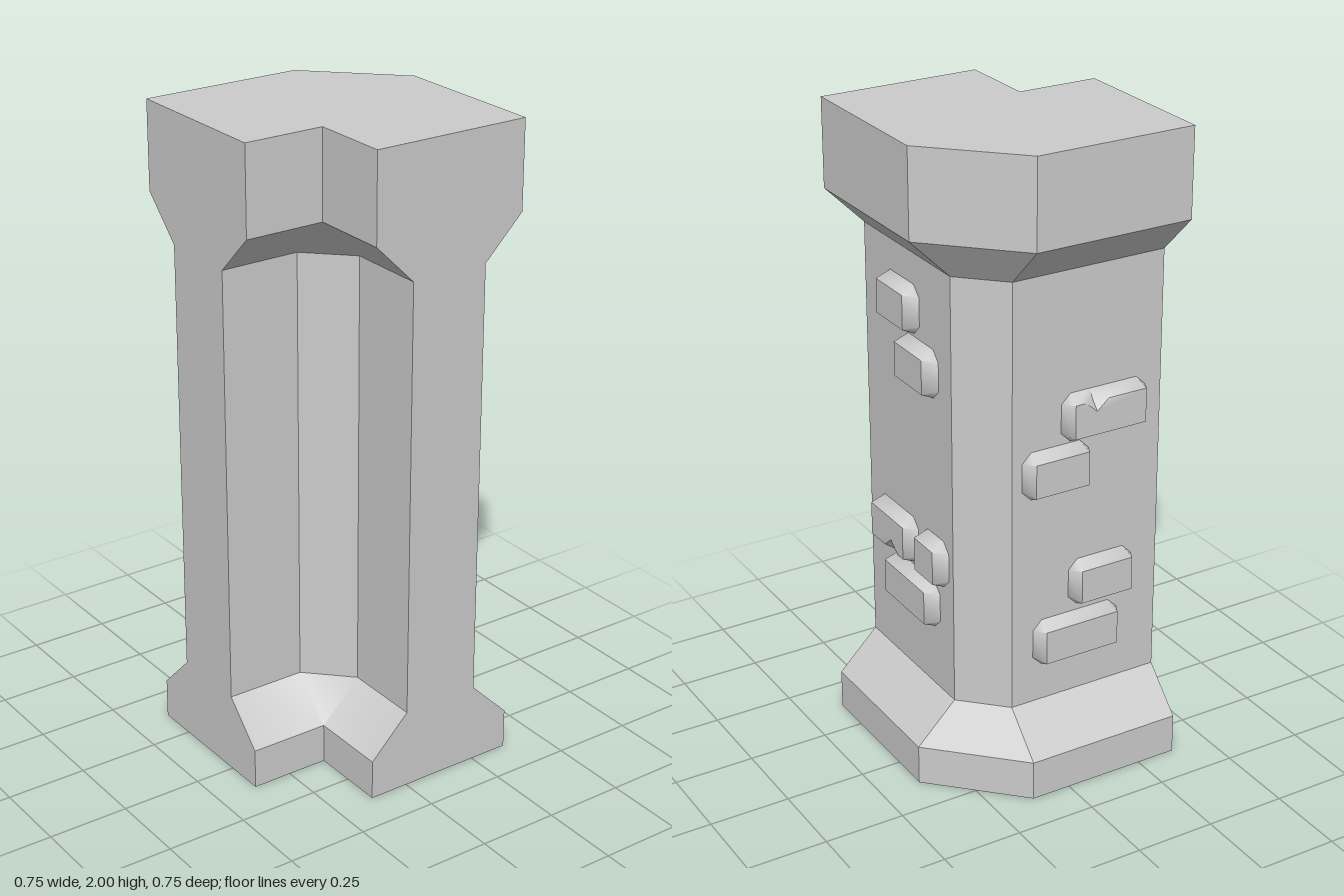
import * as THREE from 'three';
import { toCreasedNormals } from 'three/addons/utils/BufferGeometryUtils.js';

const material = new THREE.MeshStandardMaterial({ color: 0xcccccc, side: THREE.DoubleSide });

// Mesh from a list of triangles, each three [x, y, z] corners; empty triangles are dropped
function meshOf(name, triangles, crease) {
  const area = new THREE.Triangle();
  const solid = triangles.filter((t) => {
    area.set(...t.map((p) => new THREE.Vector3(...p)));
    return area.getArea() > 1e-7;
  });
  const geometry = new THREE.BufferGeometry();
  geometry.setAttribute('position', new THREE.Float32BufferAttribute(solid.flat(2), 3));
  const mesh = new THREE.Mesh(toCreasedNormals(geometry, crease), material);
  mesh.name = name;
  return mesh;
}

const quad = (a, b, c, d) => [[a, b, c], [a, c, d]];

// Plan outlines [x, z] of the wide ends and of the slimmer shaft
const A = 0.374, S = 0.249, C = 0.125;
const wide = [[-A, -A], [C, -A], [A, -C], [A, A], [-C, A], [-C, C], [-C, C], [-A, C]];
const slim = [[-A, -S], [C, -S], [S, -C], [S, A], [0, A], [0, C], [-C, 0], [-A, 0]];

// Height, outline and the name of the band that rises from it
const levels = [
  [0, wide, 'baseWall'],
  [0.125, wide, 'baseSlope'],
  [0.25, slim, 'shaft'],
  [1.605, slim, 'capitalSlope'],
  [1.73, wide, 'capitalWall'],
  [2, wide],
];

function band(name, [y0, low], [y1, high]) {
  const outer = [], inner = [];
  low.forEach((p, i) => {
    const j = (i + 1) % low.length;
    const at = (outline, k, y) => [outline[k][0], y, outline[k][1]];
    const side = quad(at(low, i, y0), at(high, i, y1), at(high, j, y1), at(low, j, y0));
    (i >= 4 && i <= 6 ? inner : outer).push(...side);
  });
  const group = new THREE.Group();
  group.name = name;
  group.add(meshOf(name + 'Outer', outer, 0.02), meshOf(name + 'Inner', inner, 0.7));
  return group;
}

// Raised stone: octagonal foot, bevelled sides, rectangular face, optional chip in its lower edge
function brick(width, height, chip) {
  const w = width / 2, h = height / 2, cut = 0.03, inset = 0.022, out = 0.043;
  const x = w - inset, y = h - inset;
  const face = [[-x, -y, out], [x, -y, out], [x, y, out], [-x, y, out]];
  // Two foot points for each corner, counter-clockwise
  const foot = [
    [[-w, -h + cut, 0], [-w + cut, -h, 0]], [[w - cut, -h, 0], [w, -h + cut, 0]],
    [[w, h - cut, 0], [w - cut, h, 0]], [[-w + cut, h, 0], [-w, h - cut, 0]],
  ];
  const triangles = [];
  for (let i = 0; i < 4; i++) {
    const j = (i + 1) % 4;
    triangles.push([foot[i][0], foot[i][1], face[i]]);
    if (i > 0 || chip === undefined) triangles.push(...quad(foot[i][1], foot[j][0], face[j], face[i]));
  }
  if (chip === undefined) {
    triangles.push(...quad(...face));
  } else {
    const left = [chip - 0.038, -y, out], right = [chip + 0.038, -y, out];
    const tip = [chip, -y + 0.033, out], pit = [chip, -y + 0.008, 0.02], toe = [chip, -h, 0];
    triangles.push(
      ...quad(foot[0][1], toe, left, face[0]), ...quad(toe, foot[1][0], face[1], right),
      [toe, pit, left], [toe, right, pit], [left, pit, tip], [pit, right, tip],
      [face[0], left, tip], [face[0], tip, face[3]], [tip, face[2], face[3]],
      [tip, face[1], face[2]], [right, face[1], tip],
    );
  }
  return meshOf('raisedBrick', triangles, 0.8);
}

// Bricks per wall: [u0, u1, y0, y1, chip position, chip on top edge], u runs to the viewer's right
const sideBricks = [
  [-0.25, -0.053, 1.36, 1.51],
  [-0.15, 0.053, 1.2, 1.35],
  [-0.317, -0.079, 0.61, 0.76, 0.023],
  [-0.053, 0.1, 0.61, 0.76],
  [-0.238, 0.045, 0.45, 0.6],
];
const backBricks = [
  [0.037, 0.32, 1.08, 1.23, 0.048, true],
  [-0.092, 0.13, 0.925, 1.075],
  [0.068, 0.285, 0.54, 0.69],
  [-0.053, 0.238, 0.37, 0.52],
];

function brickWall(name, bricks, turn) {
  const wall = new THREE.Group();
  wall.name = name;
  wall.rotation.y = turn;
  for (const [u0, u1, y0, y1, chip, flipped] of bricks) {
    const mesh = brick(u1 - u0, y1 - y0, chip);
    mesh.position.set((u0 + u1) / 2, (y0 + y1) / 2, S);
    if (flipped) mesh.rotation.z = Math.PI;
    wall.add(mesh);
  }
  return wall;
}

export function createModel() {
  const model = new THREE.Group();
  model.name = 'cornerPillar';

  // Pillar body, open underneath
  for (let i = 0; i < levels.length - 1; i++) model.add(band(levels[i][2], levels[i], levels[i + 1]));

  // Flat top
  const outline = new THREE.Shape(wide.filter((p, i) => i !== 6).map(([x, z]) => new THREE.Vector2(x, -z)));
  const top = new THREE.Mesh(new THREE.ShapeGeometry(outline).rotateX(-Math.PI / 2), material);
  top.name = 'top';
  top.position.y = 2;
  model.add(top);

  // Raised bricks on the two outer walls
  model.add(brickWall('sideBricks', sideBricks, Math.PI / 2), brickWall('backBricks', backBricks, Math.PI));
  return model;
}
